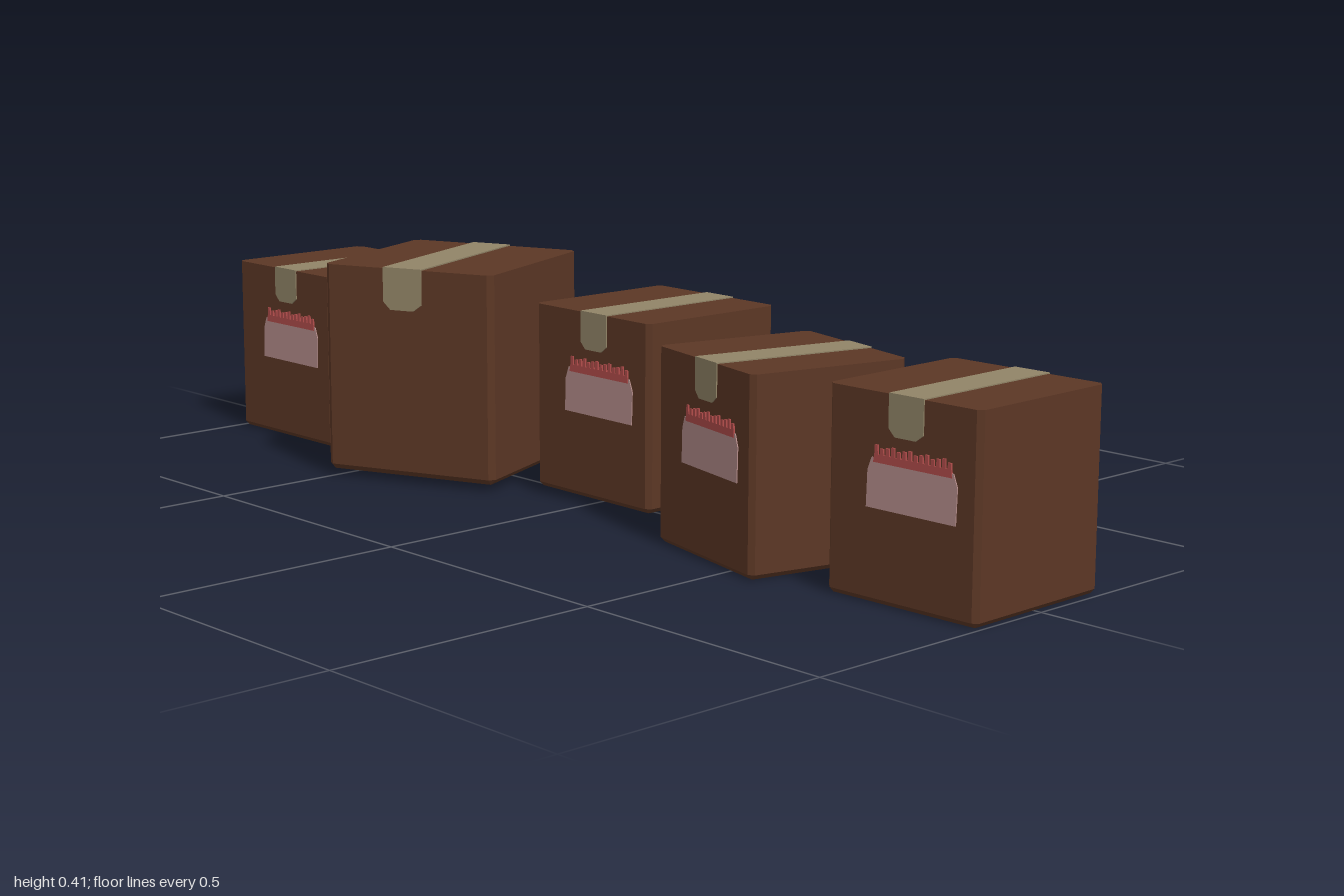
import * as THREE from 'three';
import { ConvexGeometry } from 'three/addons/geometries/ConvexGeometry.js';

const W = 0.307, H = 0.341, C = 0.009, T = 0.002; // box width, height, bevel, plate thickness

const mat = (name, color) => {
  const m = new THREE.MeshStandardMaterial({ color });
  m.name = name;
  return m;
};

// Box body: bevelled upright and bottom edges, sharp top rim
function bodyGeometry() {
  const h = W / 2, points = [];
  for (const sx of [-1, 1]) for (const sz of [-1, 1]) {
    for (const y of [C, H]) {
      points.push(new THREE.Vector3(sx * h, y, sz * (h - C)));
      points.push(new THREE.Vector3(sx * (h - C), y, sz * h));
    }
    points.push(new THREE.Vector3(sx * (h - C), 0, sz * (h - C)));
  }
  return new ConvexGeometry(points);
}

// Thin plate cut from an outline in the xy plane
function plate(outline, depth = T) {
  const shape = new THREE.Shape(outline.map(([x, y]) => new THREE.Vector2(x, y)));
  return new THREE.ExtrudeGeometry(shape, { depth, bevelEnabled: false });
}

// Label's torn printed edge: uneven small teeth
function fringeOutline(x0, x1, y0, y1) {
  const pts = [[x0, y0], [x1, y0]], n = 14, step = (x1 - x0) / n;
  for (let i = n - 1; i >= 0; i--) {
    const top = y1 - 0.005 * ((i * 5) % 3) / 2;
    const l = x0 + i * step;
    pts.push([l + step * 0.85, y1 - 0.015], [l + step * 0.8, top], [l + step * 0.25, top], [l + step * 0.2, y1 - 0.015]);
  }
  return pts;
}

export function createModel() {
  const cardboard = mat('cardboard brown', 0x5c3725);
  const tapeMat = mat('tape beige', 0x918467);
  const labelMat = mat('label pink', 0xb48c8a);
  const redMat = mat('label red', 0xb04c4a);

  const body = bodyGeometry();
  const strip = new THREE.BoxGeometry(0.07, T, W + 2 * T);
  const flap = plate([[-0.035, H], [-0.035, H - 0.054], [-0.022, H - 0.067],
    [0.02, H - 0.067], [0.035, H - 0.056], [0.035, H]]);
  const label = plate([[-0.07, 0.155], [0.11, 0.155], [0.112, 0.215], [0.104, 0.236],
    [-0.06, 0.236], [-0.068, 0.215]]);
  const fringe = plate(fringeOutline(-0.056, 0.102, 0.229, 0.257), T * 1.5);

  const add = (group, name, geometry, material, x = 0, y = 0, z = 0) => {
    const mesh = new THREE.Mesh(geometry, material);
    mesh.name = name;
    mesh.position.set(x, y, z);
    group.add(mesh);
    return mesh;
  };

  function carton(name) {
    const g = new THREE.Group();
    g.name = name;
    add(g, 'body', body, cardboard);
    add(g, 'topTape', strip, tapeMat, 0.008, H + T / 2, 0);
    add(g, 'frontTape', flap, tapeMat, 0.008, 0, W / 2);
    add(g, 'backTape', flap, tapeMat, 0.008, 0, -W / 2).rotation.y = Math.PI;
    add(g, 'label', label, labelMat, 0, 0, W / 2);
    add(g, 'labelFringe', fringe, redMat, 0, 0, W / 2);
    return g;
  }

  // Row of cartons: x, y, z, turn in degrees, scale
  const row = [
    [-0.846, 0, -0.045, 0, 1],
    [-0.416, 0.012, 0.023, 202.5, 1.15],
    [0.015, 0.012, -0.1, -1, 1],
    [0.457, 0, 0.025, -13.5, 0.98],
    [0.84, 0, 0.002, 1.2, 1],
  ];
  const model = new THREE.Group();
  model.name = 'cartons';
  row.forEach(([x, y, z, turn, s], i) => {
    const c = carton('carton' + (i + 1));
    c.position.set(x, y, z);
    c.rotation.y = THREE.MathUtils.degToRad(turn);
    c.scale.set(s, i === 3 ? 1 : s, s);
    model.add(c);
  });
  return model;
}
